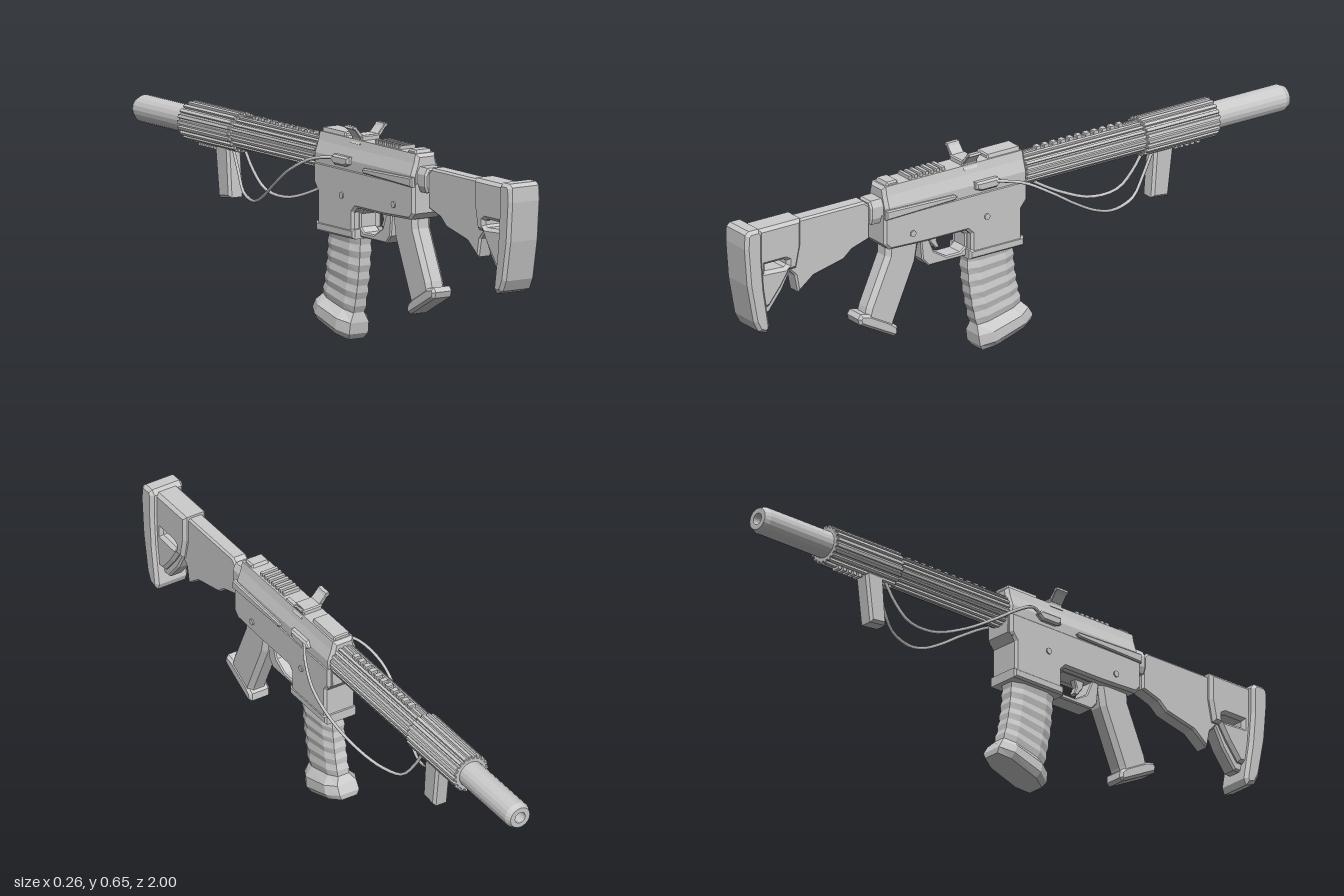
import * as THREE from 'three';

const mat = new THREE.MeshStandardMaterial({ color: 0xcccccc, flatShading: true });
const smooth = new THREE.MeshStandardMaterial({ color: 0xcccccc });
const V = (x, y, z) => new THREE.Vector3(x, y, z);

export function createModel() {
  const model = new THREE.Group();
  model.name = 'carbine';
  const body = new THREE.Group();
  body.name = 'body';
  body.position.x = -0.005;
  model.add(body);

  const add = (name, geo) => {
    const mesh = new THREE.Mesh(geo, mat);
    mesh.name = name;
    body.add(mesh);
    return mesh;
  };
  const outline = (pts, T = THREE.Shape) => new T(pts.map(p => new THREE.Vector2(p[0], p[1])));

  // Plate cut from a side outline of [z, y] points, chamfered, centred on x
  const plate = (name, pts, width, bevel, hole = null, x = 0) => {
    const shape = outline(pts);
    if (hole) shape.holes.push(outline(hole, THREE.Path));
    const depth = width - 2 * bevel;
    const geo = new THREE.ExtrudeGeometry(shape, {
      depth, bevelThickness: bevel, bevelSize: bevel, bevelOffset: -bevel, bevelSegments: 1,
    });
    geo.translate(0, 0, -depth / 2).rotateY(-Math.PI / 2).translate(x, 0, 0);
    return add(name, geo);
  };
  // Bar with an [x, y] cross-section running along z
  const bar = (name, pts, z0, z1, bevel = 0.006) => {
    const geo = new THREE.ExtrudeGeometry(outline(pts), {
      depth: z1 - z0 - 2 * bevel, bevelThickness: bevel, bevelSize: bevel, bevelOffset: -bevel, bevelSegments: 1,
    });
    return add(name, geo.translate(0, 0, z0 + bevel));
  };
  const box = (name, w, h, d, x, y, z) => add(name, new THREE.BoxGeometry(w, h, d)).position.set(x, y, z);
  // Skin over equal rings listed from top to bottom, with both ends closed
  const loft = (name, rings) => {
    const n = rings[0].length, idx = [];
    for (let i = 0; i < rings.length - 1; i++) for (let j = 0; j < n; j++) {
      const a = i * n + j, b = i * n + (j + 1) % n;
      idx.push(a, b, a + n, b, b + n, a + n);
    }
    const last = (rings.length - 1) * n;
    for (let j = 1; j < n - 1; j++) idx.push(0, j + 1, j, last, last + j, last + j + 1);
    const geo = new THREE.BufferGeometry().setFromPoints(rings.flat());
    geo.setIndex(idx);
    geo.computeVertexNormals();
    return add(name, geo);
  };

  // Stock: thin skeleton, thicker rear half, butt plate
  const slot = [[0.835, 0.45], [0.845, 0.443], [0.915, 0.447], [0.915, 0.468], [0.845, 0.468], [0.835, 0.462]];
  plate('stock', [[0.94, 0.578], [0.94, 0.305], [0.893, 0.305], [0.845, 0.365], [0.815, 0.42], [0.797, 0.4],
    [0.785, 0.345], [0.73, 0.385], [0.62, 0.41], [0.59, 0.435], [0.525, 0.455], [0.525, 0.56], [0.545, 0.578]], 0.05, 0.006, slot);
  plate('stockRear', [[0.945, 0.585], [0.945, 0.33], [0.9, 0.33], [0.855, 0.385], [0.825, 0.43], [0.8, 0.43], [0.785, 0.5], [0.785, 0.585]],
    0.08, 0.01, slot);
  plate('buttPlate', [[0.998, 0.585], [1, 0.54], [0.99, 0.42], [0.967, 0.3], [0.95, 0.267], [0.918, 0.255],
    [0.91, 0.275], [0.93, 0.4], [0.938, 0.5], [0.938, 0.58], [0.95, 0.595], [0.985, 0.595]], 0.115, 0.01);

  // Collar joining stock and receiver
  bar('stockCollar', [[-0.028, 0.5], [0.028, 0.5], [0.036, 0.52], [0.036, 0.555], [0.025, 0.575], [-0.025, 0.575],
    [-0.036, 0.555], [-0.036, 0.52]], 0.46, 0.53);

  // Receiver
  bar('upperReceiver', [[-0.05, 0.45], [0.05, 0.45], [0.052, 0.55], [0.04, 0.585], [0.034, 0.612],
    [-0.034, 0.612], [-0.04, 0.585], [-0.052, 0.55]], -0.032, 0.485, 0.01);
  plate('lowerReceiver', [[0.492, 0.525], [0.492, 0.435], [0.472, 0.415], [0.34, 0.41], [0.19, 0.41], [0.175, 0.395],
    [0.175, 0.32], [0, 0.32], [-0.01, 0.335], [-0.01, 0.435], [-0.03, 0.46], [-0.03, 0.525]], 0.108, 0.008);
  plate('magazineWellRim', [[0.182, 0.345], [0.182, 0.315], [-0.016, 0.315], [-0.016, 0.345]], 0.112, 0.006);
  plate('triggerGuard', [[0.345, 0.42], [0.338, 0.345], [0.315, 0.32], [0.17, 0.32], [0.17, 0.42]], 0.06, 0.004,
    [[0.315, 0.408], [0.2, 0.408], [0.182, 0.39], [0.182, 0.35], [0.2, 0.336], [0.25, 0.336], [0.295, 0.362]]);
  plate('trigger', [[0.305, 0.42], [0.26, 0.42], [0.272, 0.385], [0.262, 0.362], [0.275, 0.36], [0.296, 0.385]], 0.022, 0.003);

  // Side ribs, pins and sling lugs
  for (const s of [1, -1]) {
    const side = s < 0 ? 'right' : 'left';
    plate(side + 'SideRib', [[0.49, 0.545], [0.49, 0.515], [0.24, 0.522], [0.23, 0.53], [0.24, 0.538]], 0.016, 0.004, null, s * 0.053);
    plate(side + 'SlingLug', [[0.165, 0.56], [0.165, 0.538], [0.145, 0.53], [0.09, 0.53], [0.07, 0.545], [0.085, 0.56]],
      0.026, 0.006, null, s * 0.053);
    for (const [z, y] of [[0.39, 0.45], [0.12, 0.44]]) {
      const pin = add(side + 'Pin', new THREE.CylinderGeometry(0.01, 0.01, 0.006, 10));
      pin.rotation.z = Math.PI / 2;
      pin.position.set(s * 0.055, y, z);
    }
  }

  // Top rail, rear hump and V-shaped sight
  for (let i = 0; i < 7; i++) box('railTooth', 0.056, 0.014, 0.011, 0, 0.616, 0.26 + i * 0.02);
  plate('rearHump', [[0.475, 0.6], [0.465, 0.622], [0.43, 0.622], [0.42, 0.6]], 0.06, 0.005);
  bar('frontRail', [[-0.03, 0.605], [0.03, 0.605], [0.026, 0.624], [-0.026, 0.624]], -0.02, 0.1, 0.004);
  bar('sightBase', [[-0.04, 0.6], [0.04, 0.6], [0.032, 0.61], [0.036, 0.627], [-0.036, 0.627], [-0.032, 0.61]], 0.14, 0.195, 0.004);
  for (const s of [1, -1]) {
    bar('sightArm', [[s * 0.022, 0.622], [s * 0.036, 0.618], [s * 0.054, 0.643], [s * 0.064, 0.649],
      [s * 0.062, 0.656], [s * 0.05, 0.656], [s * 0.046, 0.648]], 0.146, 0.192, 0.002);
  }

  // Pistol grip with flared foot
  plate('grip', [[0.465, 0.425], [0.345, 0.425], [0.348, 0.4], [0.358, 0.345], [0.435, 0.17], [0.445, 0.14], [0.545, 0.195],
    [0.535, 0.235], [0.468, 0.385]], 0.066, 0.014);
  plate('gripFoot', [[0.572, 0.208], [0.562, 0.222], [0.53, 0.215], [0.455, 0.175], [0.43, 0.155], [0.428, 0.132],
    [0.44, 0.124], [0.567, 0.19]], 0.072, 0.008);

  // Magazine: ribbed eight-sided loft that curves forward and flares at the foot
  const magRing = (t, hw, grow) => {
    const zc = 0.085 - 0.045 * t * t, yc = 0.335 - 0.27 * t, tilt = 0.28 * t, hd = 0.082 + grow;
    return [[1, -0.55], [1, 0.55], [0.6, 1], [-0.6, 1], [-1, 0.55], [-1, -0.55], [-0.6, -1], [0.6, -1]].map(([u, v]) =>
      V(u * hw, yc - v * hd * Math.sin(tilt), zc + v * hd * Math.cos(tilt)));
  };
  const rings = [];
  for (let i = 0; i <= 12; i++) {
    const out = i % 2 ? 0.004 : 0;
    rings.push(magRing(i / 12 * 0.86, 0.032 + out, out * 0.8));
  }
  rings.push(magRing(0.95, 0.055, 0.012), magRing(1.06, 0.057, 0.018), magRing(1.125, 0.045, 0.012));
  loft('magazine', rings);

  // Fluted handguard and its thicker front sleeve
  const fluted = (r, inner, n) => {
    const pts = [];
    for (let i = 0; i < n; i++) for (const [f, k] of [[-0.3, r], [0.2, r], [0.3, inner], [0.6, inner]]) {
      const a = (i + f) / n * Math.PI * 2;
      pts.push([k * Math.cos(a), 0.54 + k * Math.sin(a)]);
    }
    return pts;
  };
  bar('handguard', fluted(0.051, 0.044, 20), -0.47, -0.03, 0.002);
  bar('frontSleeve', fluted(0.061, 0.054, 20), -0.73, -0.465, 0.002);
  for (let i = 0; i < 11; i++) box('handguardTooth', 0.02, 0.016, 0.016, 0, 0.59, -0.1 - i * 0.03);
  for (let i = 0; i < 5; i++) box('sleeveTooth', 0.026, 0.016, 0.012, 0, 0.48, -0.6 - i * 0.02);

  // Barrel shroud with recessed bore
  const shroud = new THREE.LatheGeometry([[0, 0.7], [0.042, 0.7], [0.042, 0.982], [0.034, 1], [0.018, 1], [0.018, 0.95], [0, 0.95]]
    .map(p => new THREE.Vector2(...p)), 20);
  add('barrelShroud', shroud.rotateX(-Math.PI / 2)).position.y = 0.54;

  // Forward grip
  plate('forwardGrip', [[-0.515, 0.495], [-0.503, 0.34], [-0.565, 0.333], [-0.585, 0.495]], 0.052, 0.008);

  // Sling cord, one loop on each side
  for (const s of [1, -1]) {
    const path = new THREE.CatmullRomCurve3([[0.058, 0.55, 0.09], [0.098, 0.54, 0.02], [0.123, 0.498, -0.06], [0.117, 0.44, -0.15],
      [0.09, 0.385, -0.25], [0.06, 0.358, -0.34], [0.04, 0.372, -0.42], [0.026, 0.425, -0.465], [0.02, 0.485, -0.5]]
      .map(([x, y, z]) => V(s * x, y, z)));
    const cord = new THREE.Mesh(new THREE.TubeGeometry(path, 30, 0.005, 6), smooth);
    cord.name = s > 0 ? 'leftSlingCord' : 'rightSlingCord';
    model.add(cord);
  }
  return model;
}
